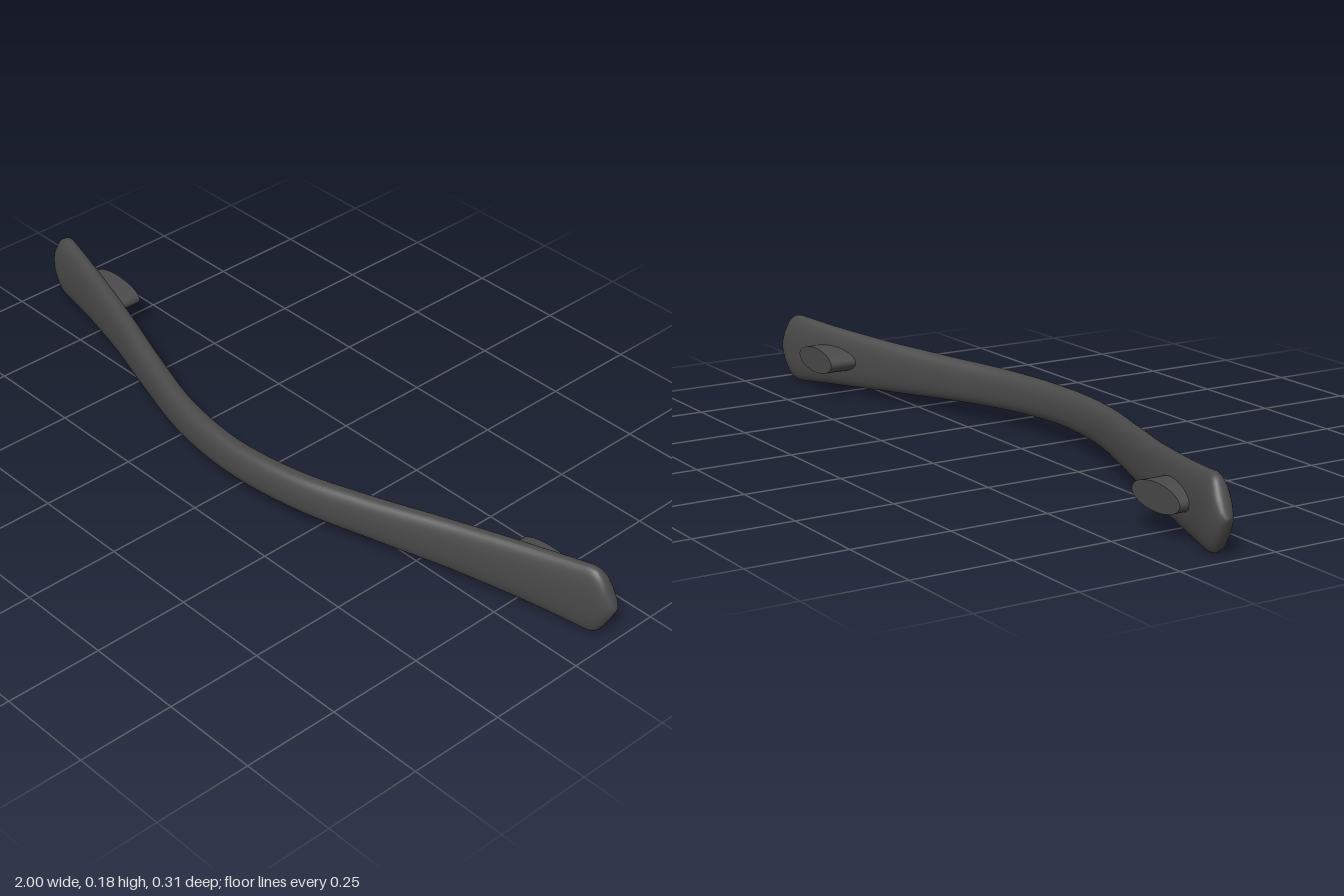
import * as THREE from 'three';

const MID_Y = 0.092;
const material = new THREE.MeshStandardMaterial({ color: 0x4a4a4a, side: THREE.DoubleSide });

// Bowed centre line in plan, right end to left end
const half = [[0.2, 0.101], [0.4, 0.042], [0.6, -0.025], [0.8, -0.083], [0.94, -0.117], [1, -0.126]];
const bow = new THREE.CatmullRomCurve3([
  ...half.map(([x, z]) => new THREE.Vector3(-x, MID_Y, z)).reverse(),
  new THREE.Vector3(0, MID_Y, 0.123),
  ...half.map(([x, z]) => new THREE.Vector3(x, MID_Y, z)),
]);

// Half height and half thickness along the bar: [distance from middle, height, thickness]
const sizes = [
  [0, 0.047, 0.029], [0.2, 0.05, 0.029], [0.4, 0.056, 0.029], [0.6, 0.066, 0.028], [0.8, 0.079, 0.028],
  [0.93, 0.09, 0.028], [0.945, 0.087, 0.028], [0.96, 0.077, 0.027], [0.975, 0.054, 0.024],
  [0.99, 0.024, 0.017], [0.997, 0.009, 0.009], [1, 0, 0],
];
function sizeAt(d) {
  let i = 1;
  while (i < sizes.length - 1 && sizes[i][0] < d) i++;
  const [a, b] = [sizes[i - 1], sizes[i]];
  const t = THREE.MathUtils.clamp((d - a[0]) / (b[0] - a[0]), 0, 1);
  return [THREE.MathUtils.lerp(a[1], b[1], t), THREE.MathUtils.lerp(a[2], b[2], t)];
}

// Bar: rounded-oval sections swept square to the bow
function barGeometry(sides = 40) {
  const stations = [];
  for (let i = 0; i <= 36; i++) stations.push(i * 0.025);
  stations.push(0.915, ...sizes.slice(5).map((s) => s[0]));
  const xs = [...stations.slice(1).reverse().map((d) => -d), ...stations];
  const round = (v) => Math.sign(v) * Math.pow(Math.abs(v), 0.85);
  const positions = [], index = [];
  for (const x of xs) {
    // find the curve point at this x
    let lo = 0, hi = 1;
    for (let k = 0; k < 30; k++) {
      const m = (lo + hi) / 2;
      if (bow.getPoint(m).x < x) lo = m; else hi = m;
    }
    const p = bow.getPoint(lo), t = bow.getTangent(lo);
    const [h, w] = sizeAt(Math.abs(x));
    for (let j = 0; j < sides; j++) {
      const a = (j / sides) * Math.PI * 2;
      const out = round(Math.cos(a)) * w, up = round(Math.sin(a)) * h;
      positions.push(p.x - t.z * out, p.y + up, p.z + t.x * out);
    }
  }
  for (let i = 0; i < xs.length - 1; i++) {
    for (let j = 0; j < sides; j++) {
      const a = i * sides + j, b = i * sides + ((j + 1) % sides);
      index.push(a, a + sides, b, b, a + sides, b + sides);
    }
  }
  const g = new THREE.BufferGeometry();
  g.setAttribute('position', new THREE.Float32BufferAttribute(positions, 3));
  g.setIndex(index);
  g.computeVertexNormals();
  return g;
}

export function createModel() {
  const model = new THREE.Group();
  model.name = 'pullHandle';

  const bar = new THREE.Mesh(barGeometry(), material);
  bar.name = 'bar';
  model.add(bar);

  // Oval mounting posts, sunk into the back of the bar
  for (const side of [-1, 1]) {
    const front = -0.07, back = -0.153;
    const geometry = new THREE.CylinderGeometry(1, 1, front - back, 48);
    geometry.rotateX(Math.PI / 2).scale(0.089, 0.033, 1);
    // slope the hidden end to follow the bar
    const pos = geometry.attributes.position;
    for (let i = 0; i < pos.count; i++) {
      if (pos.getZ(i) > 0) pos.setZ(i, pos.getZ(i) - side * pos.getX(i) * 0.3);
    }
    const post = new THREE.Mesh(geometry, material);
    post.name = side > 0 ? 'leftPost' : 'rightPost';
    post.position.set(side * 0.775, MID_Y, (front + back) / 2);
    model.add(post);
  }
  return model;
}
